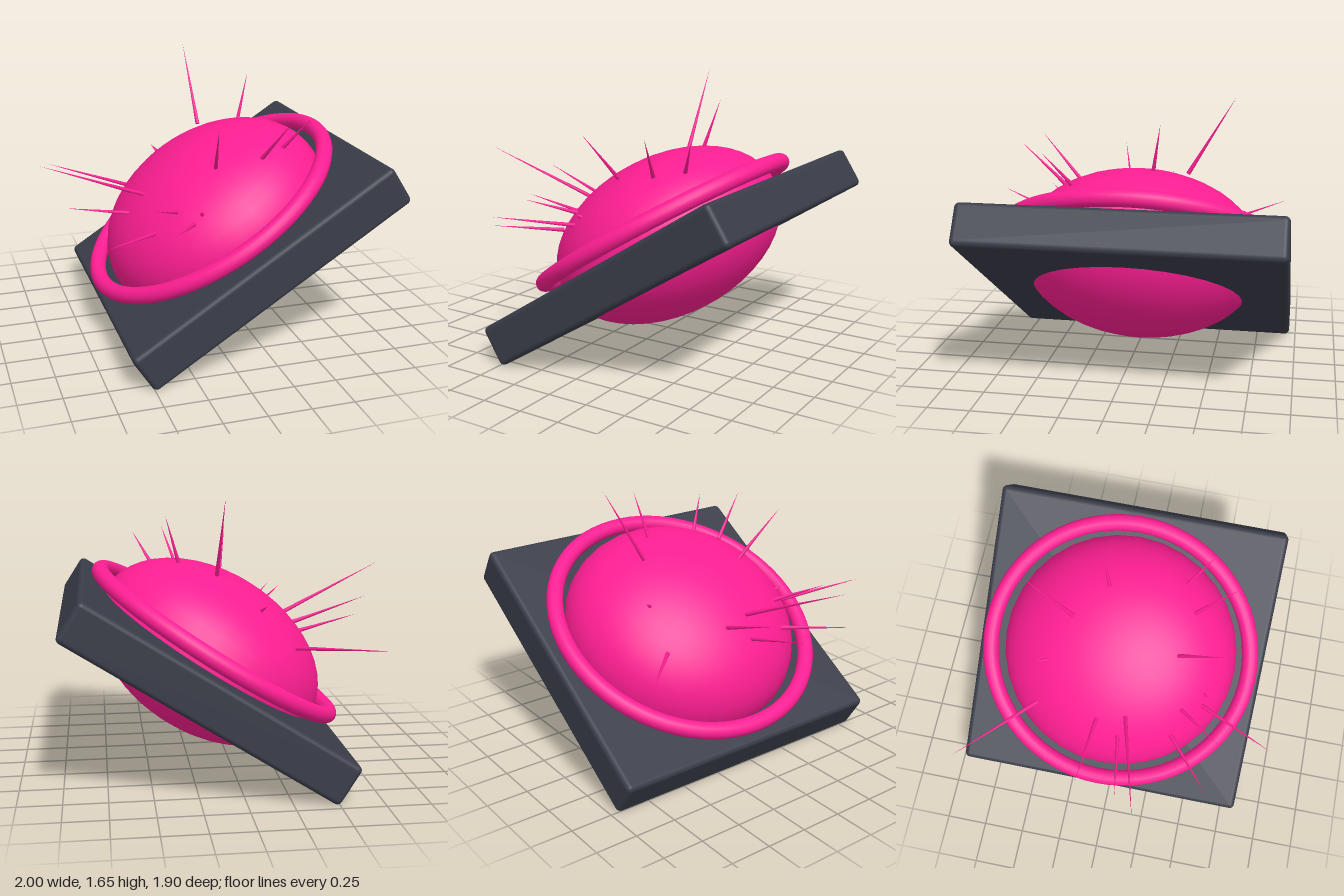
import * as THREE from 'three';
import { RoundedBoxGeometry } from 'three/addons/geometries/RoundedBoxGeometry.js';

const TILT = THREE.MathUtils.degToRad(32.6);

// Spikes on the dome: base point, then tip
const SPIKES = [
  [-0.34, 0.78, -0.49, -0.78, 0.84, -0.9],
  [-0.13, 0.99, -0.455, -0.165, 1.03, -0.51],
  [0.1, 1.19, -0.34, 0.085, 1.65, -0.615],
  [0.3, 1.22, -0.16, 0.385, 1.525, -0.215],
  [-0.395, 0.86, -0.105, -0.83, 1.015, -0.135],
  [-0.44, 0.77, 0.035, -0.835, 0.86, 0.095],
  [-0.36, 0.89, 0.065, -1, 1.17, 0.23],
  [-0.37, 0.74, 0.345, -0.7, 0.78, 0.615],
  [-0.24, 0.87, 0.38, -0.44, 0.975, 0.625],
  [-0.18, 0.83, 0.5, -0.415, 0.94, 0.94],
  [-0.13, 0.885, 0.5, -0.145, 0.91, 0.53],
  [0.01, 1.09, 0.31, -0.06, 1.385, 0.58],
  [0.275, 1.14, 0.36, 0.36, 1.395, 0.59],
  [0.435, 1.17, 0.28, 0.555, 1.375, 0.425],
];

export function createModel() {
  const model = new THREE.Group();
  const pink = new THREE.MeshStandardMaterial({ color: 0xff1e93 });
  const slate = new THREE.MeshStandardMaterial({ color: 0x3a3d49 });

  const add = (parent, name, geometry, material) => {
    const mesh = new THREE.Mesh(geometry, material);
    mesh.name = name;
    parent.add(mesh);
    return mesh;
  };

  // Tilted assembly: slab, flattened ball set into it, ring around the ball
  const body = new THREE.Group();
  body.name = 'tiltedBody';
  body.position.set(0.19, 0.577, -0.065);
  body.rotation.z = TILT;
  model.add(body);

  add(body, 'slab', new RoundedBoxGeometry(1.79, 0.25, 1.79, 4, 0.03), slate);

  const ball = add(body, 'ball', new THREE.SphereGeometry(0.73, 32, 24), pink);
  ball.scale.y = 0.667;
  ball.position.y = 0.127;

  const ring = add(body, 'ring', new THREE.TorusGeometry(0.813, 0.05, 16, 72), pink);
  ring.rotation.x = Math.PI / 2;
  ring.position.y = 0.207;

  // Thin spikes, each a cone aimed from base to tip
  const spikes = new THREE.Group();
  spikes.name = 'spikes';
  model.add(spikes);
  const up = new THREE.Vector3(0, 1, 0);
  for (const s of SPIKES) {
    const base = new THREE.Vector3(s[0], s[1], s[2]);
    const tip = new THREE.Vector3(s[3], s[4], s[5]);
    const along = tip.clone().sub(base);
    const spike = add(spikes, 'spike', new THREE.ConeGeometry(0.013, along.length(), 8), pink);
    spike.position.copy(base).lerp(tip, 0.5);
    spike.quaternion.setFromUnitVectors(up, along.normalize());
  }

  return model;
}
